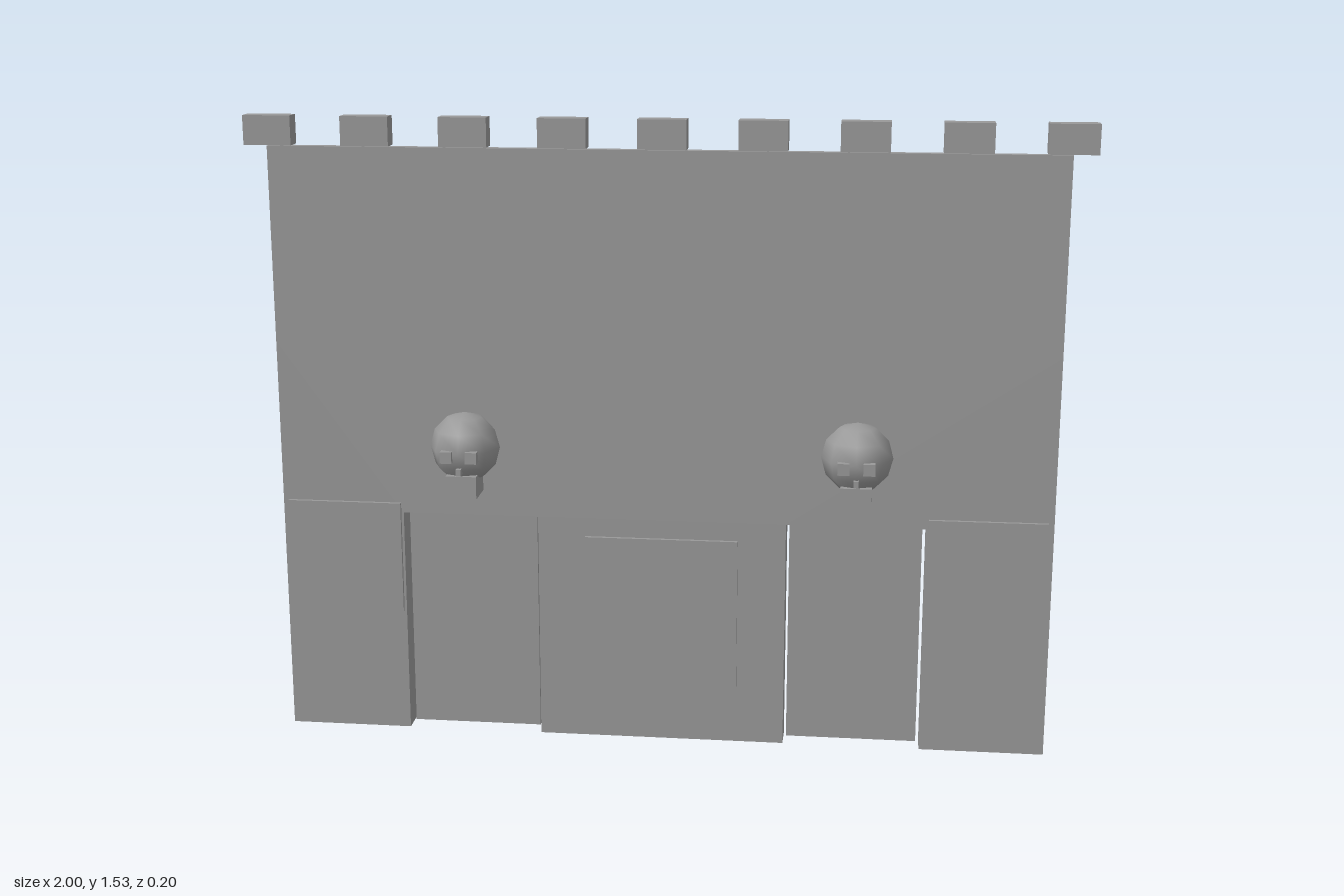
import * as THREE from 'three';

export function createModel() {
  const model = new THREE.Group();
  const stone = new THREE.MeshStandardMaterial({ color: 0x999999 });
  stone.name = 'stone grey';

  const add = (name, geometry, parent = model) => {
    const mesh = new THREE.Mesh(geometry, stone);
    mesh.name = name;
    parent.add(mesh);
    return mesh;
  };
  // Box given by its extents on each axis
  const box = (name, [x0, x1], [y0, y1], [z0, z1], parent) => {
    const mesh = add(name, new THREE.BoxGeometry(x1 - x0, y1 - y0, z1 - z0), parent);
    mesh.position.set((x0 + x1) / 2, (y0 + y1) / 2, (z0 + z1) / 2);
    return mesh;
  };

  // Wall slab with two doorways; the outline steps around each opening
  const slab = (name, points, z0, z1) => {
    const shape = new THREE.Shape(points.map(([x, y]) => new THREE.Vector2(x, y)));
    const geometry = new THREE.ExtrudeGeometry(shape, { depth: z1 - z0, bevelEnabled: false });
    add(name, geometry.translate(0, 0, z0));
  };
  const W = 0.94, inner = 0.303, outer = 0.638, doorTop = 0.565;
  slab('lowerWall', [
    [-W, 0], [-outer, 0], [-outer, doorTop], [-inner, doorTop], [-inner, 0],
    [inner, 0], [inner, doorTop], [outer, doorTop], [outer, 0], [W, 0],
    [W, 0.99], [-W, 0.99],
  ], -0.1, -0.03);
  box('upperWall', [-W, W], [0.99, 1.46], [-0.055, -0.03]);

  // Battlements
  for (let i = -4; i <= 4; i++) {
    const x = i * 0.2355;
    box('merlon', [x - 0.0575, x + 0.0575], [1.46, 1.53], [-0.086, -0.04]);
  }

  // Wall panels
  box('centrePanel', [-0.187, 0.187], [0.145, 0.52], [-0.03, -0.021]);
  for (const s of [-1, 1]) {
    const x = s * 0.785;
    box('sidePanel', [x - 0.141, x + 0.141], [0.31, 0.59], [-0.03, -0.021]);
  }

  // Doors, and a carved head above each
  for (const s of [-1, 1]) {
    const x = s * 0.47;
    box('door', [x - 0.16, x + 0.16], [0.008, 0.56], [-0.07, -0.06]);

    const bust = new THREE.Group();
    bust.name = 'carvedHead';
    bust.position.set(x, 0, 0);
    model.add(bust);
    add('skull', new THREE.SphereGeometry(0.085, 8, 6), bust).position.set(0, 0.75, 0.014);
    box('neck', [-0.037, 0.037], [0.635, 0.69], [-0.01, 0.075], bust);
    for (const e of [-1, 1]) {
      const ex = e * 0.03;
      box('eye', [ex - 0.014, ex + 0.014], [0.728, 0.756], [0.07, 0.1], bust);
    }
    box('nose', [-0.006, 0.006], [0.698, 0.714], [0.075, 0.1], bust);
  }
  return model;
}
